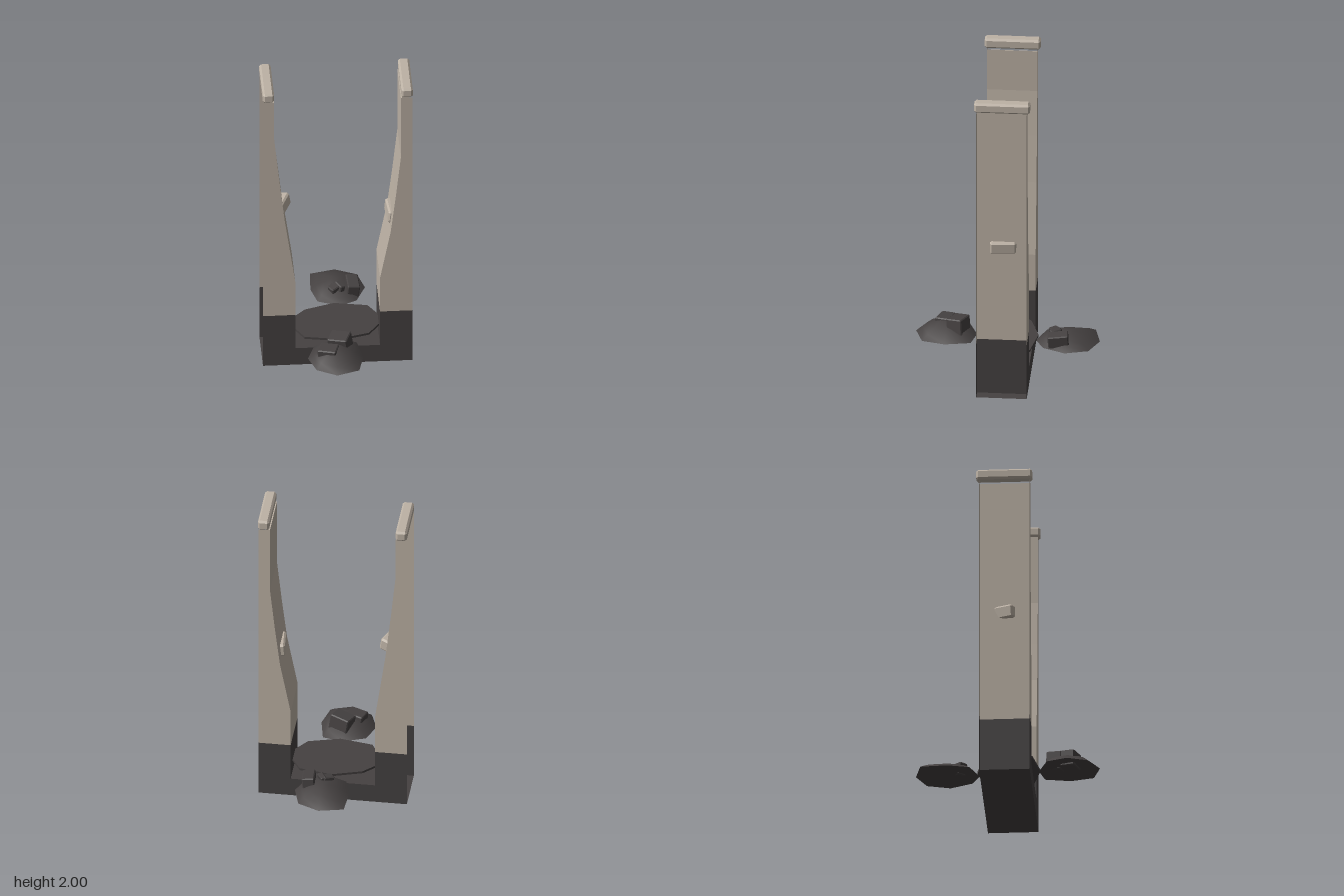
import * as THREE from 'three';
import { ConvexGeometry } from 'three/addons/geometries/ConvexGeometry.js';

const FRONT = 0.155, BACK = -0.15, OUTER = 0.452, WEB = 0.388, SPLIT = 0.365, TOP = 1.93;

export function createModel() {
  const model = new THREE.Group();
  model.name = 'ruinedGateway';
  const stone = new THREE.MeshStandardMaterial({ name: 'paleStone', color: 0xbdb2a5, side: THREE.DoubleSide });
  const dark = new THREE.MeshStandardMaterial({ name: 'darkStone', color: 0x454141, side: THREE.DoubleSide });

  function add(name, geometry, material, position = [0, 0, 0], rotation = [0, 0, 0]) {
    const mesh = new THREE.Mesh(geometry, material);
    mesh.name = name;
    mesh.position.set(...position);
    mesh.rotation.set(...rotation);
    model.add(mesh);
    return mesh;
  }

  // Outline in x/y extruded across the depth of the gateway
  function slab(name, points, material) {
    const shape = new THREE.Shape(points.map(([x, y]) => new THREE.Vector2(x, y)));
    const geometry = new THREE.ExtrudeGeometry(shape, { depth: FRONT - BACK, bevelEnabled: false });
    add(name, geometry, material, [0, 0, BACK]);
  }

  // Box with every edge chamfered by c
  function chamferBox(w, h, d, c) {
    const points = [];
    for (const x of [-1, 1]) for (const y of [-1, 1]) for (const z of [-1, 1]) {
      points.push(
        new THREE.Vector3(x * w / 2, y * (h / 2 - c), z * (d / 2 - c)),
        new THREE.Vector3(x * (w / 2 - c), y * h / 2, z * (d / 2 - c)),
        new THREE.Vector3(x * (w / 2 - c), y * (h / 2 - c), z * d / 2));
    }
    return new ConvexGeometry(points);
  }

  // Dark U-shaped base
  slab('base', [[-WEB, 0], [WEB, 0], [WEB, SPLIT], [0.255, SPLIT], [0.255, 0.12],
    [-0.257, 0.12], [-0.257, SPLIT], [-WEB, SPLIT]], dark);

  // Pillars: tapered inner face, open channel on the outer side, cap on top
  const tapers = {
    left: [1, [[0.255, SPLIT], [0.255, 0.61], [0.32, 0.95], [0.35, 1.2], [0.381, 1.49], [0.381, TOP]]],
    right: [-1, [[0.257, SPLIT], [0.257, 0.61], [0.322, 1.07], [0.355, 1.37], [0.384, 1.66], [0.384, TOP]]],
  };
  for (const [side, [s, taper]] of Object.entries(tapers)) {
    const outline = [...taper, [WEB, TOP], [WEB, SPLIT]].map(([x, y]) => [s * x, y]);
    slab(side + 'Pillar', outline, stone);
    const width = OUTER - WEB, x = s * (OUTER + WEB) / 2;
    for (const z of [FRONT, BACK]) {
      const turn = [0, z > 0 ? 0 : Math.PI, 0];
      add(side + 'BaseFlange', new THREE.PlaneGeometry(width, SPLIT), dark, [x, SPLIT / 2, z], turn);
      add(side + 'PillarFlange', new THREE.PlaneGeometry(width, TOP - SPLIT), stone, [x, (TOP + SPLIT) / 2, z], turn);
    }
    add(side + 'ChannelFloor', new THREE.PlaneGeometry(width, FRONT - BACK), dark,
      [x, 0, (FRONT + BACK) / 2], [Math.PI / 2, 0, 0]);
    add(side + 'Cap', chamferBox(0.069, 0.064, 0.338, 0.012), stone, [s * 0.419, 1.968, 0]);
  }

  // Loose bricks pushing through the pillars
  add('leftBrick', chamferBox(0.1, 0.08, 0.16, 0.01), stone, [0.354, 0.997, 0], [0, 0.08, -0.1]);
  add('rightBrick', chamferBox(0.11, 0.08, 0.145, 0.01), stone, [-0.35, 1.08, 0], [0, -0.38, 0.17]);

  // Thin irregular slab across the opening
  const slabShape = new THREE.Shape([[-0.31, 0], [-0.26, 0.05], [-0.18, 0.13], [0, 0.187], [0.2, 0.15], [0.255, 0.06],
    [0.31, 0], [0.255, -0.05], [0.19, -0.14], [0, -0.193], [-0.2, -0.157], [-0.26, -0.05]]
    .map(([x, y]) => new THREE.Vector2(x, y)));
  add('floorSlab', new THREE.ExtrudeGeometry(slabShape, { depth: 0.014, bevelEnabled: false }), dark,
    [0, 0.188, 0], [-Math.PI / 2, 0, 0]);

  // Low mound: rings of the ground outline shrinking to an apex
  function mound(name, outline, height) {
    const n = outline.length, rings = [[1, 0], [0.78, 0.38], [0.5, 0.72], [0.22, 0.93]];
    const cx = outline.reduce((a, p) => a + p[0], 0) / n;
    const cz = outline.reduce((a, p) => a + p[1], 0) / n;
    const vertices = [], index = [];
    for (const [k, h] of rings)
      for (const [x, z] of outline) vertices.push(cx + (x - cx) * k, 0.187 + height * h, cz + (z - cz) * k);
    vertices.push(cx, 0.187 + height, cz);
    for (let i = 0; i < n; i++) {
      const j = (i + 1) % n;
      for (let r = 0; r < rings.length - 1; r++) {
        const a = r * n + i, b = r * n + j;
        index.push(a, b, a + n, b, b + n, a + n);
      }
      index.push((rings.length - 1) * n + i, (rings.length - 1) * n + j, rings.length * n);
    }
    const geometry = new THREE.BufferGeometry();
    geometry.setAttribute('position', new THREE.Float32BufferAttribute(vertices, 3));
    geometry.setIndex(index);
    geometry.computeVertexNormals();
    add(name, geometry, dark);
    // Flat underside
    const under = new THREE.Shape(outline.map(([x, z]) => new THREE.Vector2(x, z)));
    add(name + 'Underside', new THREE.ShapeGeometry(under), dark, [0, 0.187, 0], [Math.PI / 2, 0, 0]);
  }
  // Outlines run counter-clockwise seen from above
  mound('frontMound', [[-0.01, 0.185], [-0.15, 0.24], [-0.195, 0.365], [-0.15, 0.49],
    [-0.03, 0.555], [0.105, 0.51], [0.14, 0.37], [0.11, 0.215]], 0.085);
  mound('backMound', [[-0.12, -0.525], [-0.13, -0.36], [-0.095, -0.23], [0.04, -0.175],
    [0.14, -0.225], [0.2, -0.36], [0.16, -0.5], [0.03, -0.56]], 0.068);

  // Rubble: size, position, rotation
  const rubble = [
    [[0.125, 0.115, 0.1], [0.005, 0.247, 0.297], [0.12, -0.38, 0.16]],
    [[0.115, 0.1, 0.09], [-0.07, 0.226, 0.38], [0.06, -0.33, 0.08]],
    [[0.075, 0.08, 0.125], [0.12, 0.237, -0.315], [0.1, 0.06, -0.1]],
    [[0.07, 0.08, 0.055], [0.015, 0.222, -0.293], [0.1, 0.6, 0.15]],
    [[0.035, 0.08, 0.07], [0.04, 0.228, -0.295], [0.1, 0.5, -0.2]],
  ];
  for (const [size, position, rotation] of rubble)
    add('rubbleBlock', chamferBox(...size, 0.006), dark, position, rotation);

  return model;
}
